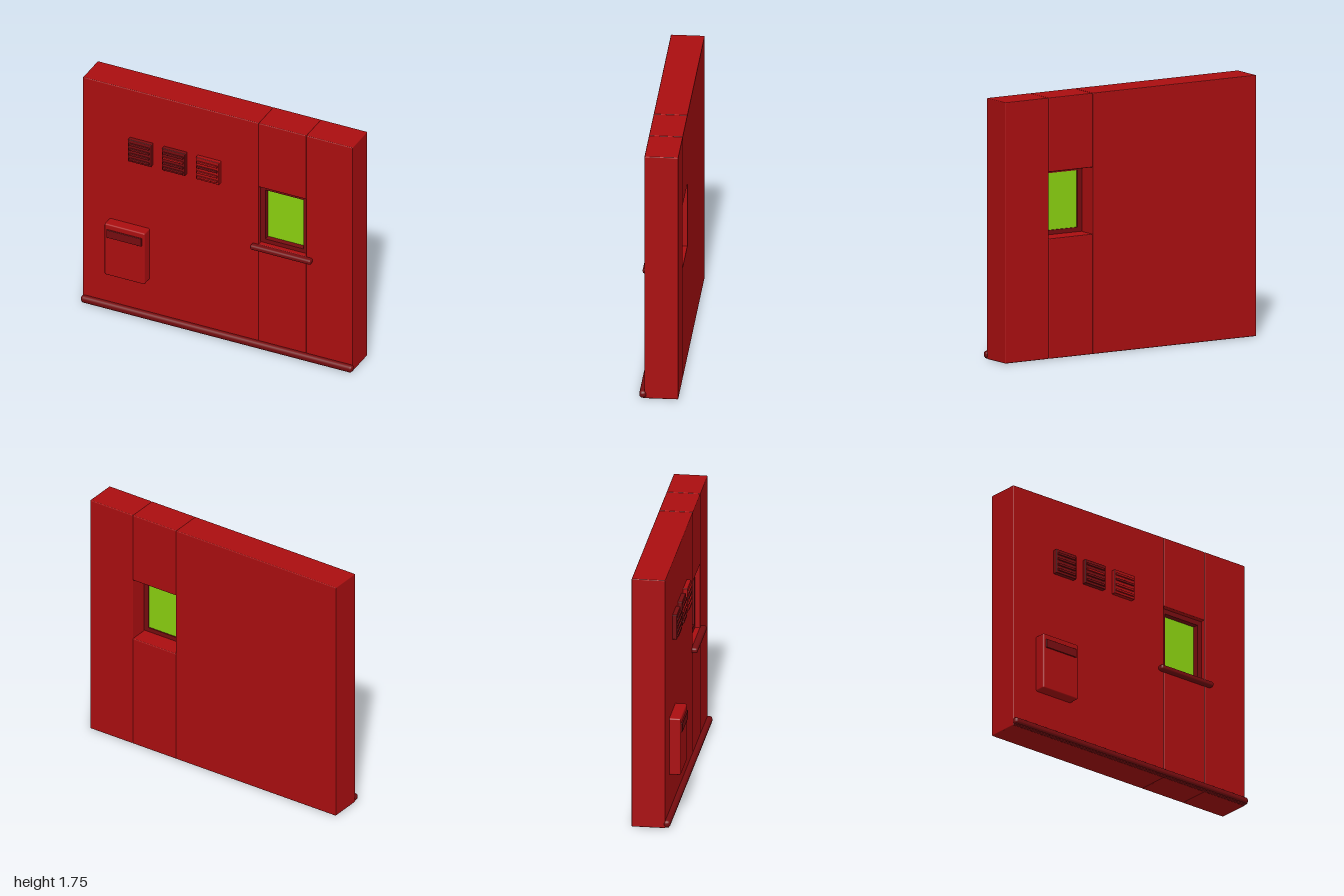
import * as THREE from 'three';
import { RoundedBoxGeometry } from 'three/addons/geometries/RoundedBoxGeometry.js';

const material = (name, color) => {
  const m = new THREE.MeshStandardMaterial({ color });
  m.name = name;
  return m;
};

export function createModel() {
  const red = material('red', 0xaa0e10);
  const darkRed = material('dark red', 0x760c0f);
  const green = material('green', 0x8ad010);
  const model = new THREE.Group();

  const add = (parent, name, geometry, mat) => {
    const mesh = new THREE.Mesh(geometry, mat);
    mesh.name = name;
    parent.add(mesh);
    return mesh;
  };

  // Rounded box given by its lower and upper corners
  const block = (parent, name, mat, [x0, y0, z0], [x1, y1, z1], radius = 0.006) => {
    const geometry = new RoundedBoxGeometry(x1 - x0, y1 - y0, z1 - z0, 2, radius);
    geometry.translate((x0 + x1) / 2, (y0 + y1) / 2, (z0 + z1) / 2);
    return add(parent, name, geometry, mat);
  };

  // Wall: two full-height slabs and a split one around the window opening
  const back = -0.155, front = 0.07, top = 1.75;
  const xa = 0.297, xb = 0.647, sillY = 0.805, headY = 1.252;
  block(model, 'wideWall', red, [-0.995, 0, back], [xa, top, front]);
  block(model, 'sideWall', red, [xb, 0, back], [0.99, top, front]);
  block(model, 'wallBelowWindow', red, [xa, 0, back], [xb, sillY, front]);
  block(model, 'wallAboveWindow', red, [xa, headY, back], [xb, top, front]);

  // Window frame with its pane
  const windowGroup = new THREE.Group();
  windowGroup.name = 'window';
  model.add(windowGroup);
  const rectangle = (Type, x0, y0, x1, y1) => new Type().moveTo(x0, y0).lineTo(x1, y0)
    .lineTo(x1, y1).lineTo(x0, y1).closePath();
  const outline = rectangle(THREE.Shape, xa, sillY, xb, headY);
  outline.holes.push(rectangle(THREE.Path, 0.333, 0.835, 0.613, 1.218));
  const frame = new THREE.ExtrudeGeometry(outline, { depth: 0.055, bevelEnabled: false });
  add(windowGroup, 'windowFrame', frame.translate(0, 0, -0.02), darkRed);
  const pane = new THREE.BoxGeometry(0.28, 0.383, 0.008);
  add(windowGroup, 'windowPane', pane.translate(0.473, 1.0265, -0.008), green);
  block(model, 'windowSill', darkRed, [0.25, 0.768, 0.06], [0.697, 0.805, 0.108], 0.014);

  // Skirting along the foot of the wall
  block(model, 'skirtingFoot', darkRed, [-0.99, 0.002, 0.05], [0.99, 0.03, 0.094], 0.006);
  block(model, 'skirtingRail', darkRed, [-1, 0.005, 0.056], [1, 0.053, 0.104], 0.02);

  // Vents: a backing plate with four slats, the second slat in the other colour
  const vents = [
    { x: -0.65, plate: darkRed, odd: darkRed },
    { x: -0.4, plate: darkRed, odd: red },
    { x: -0.15, plate: red, odd: darkRed },
  ];
  for (const { x, plate, odd } of vents) {
    const vent = new THREE.Group();
    vent.name = 'vent';
    model.add(vent);
    block(vent, 'ventPlate', plate, [x, 1.205, 0.06], [x + 0.172, 1.378, 0.1], 0.005);
    [1.345, 1.307, 1.268, 1.23].forEach((y, i) => {
      block(vent, 'ventSlat', i === 1 ? odd : plate,
        [x + 0.012, y - 0.008, 0.09], [x + 0.16, y + 0.008, 0.11], 0.002);
    });
  }

  // Letter box with its slot flap
  const letterBox = new THREE.Group();
  letterBox.name = 'letterBox';
  model.add(letterBox);
  block(letterBox, 'letterBoxBody', red, [-0.8, 0.305, 0.06], [-0.503, 0.703, 0.146], 0.01);
  block(letterBox, 'letterBoxFlap', darkRed, [-0.78, 0.603, 0.135], [-0.523, 0.663, 0.155], 0.002);

  return model;
}
